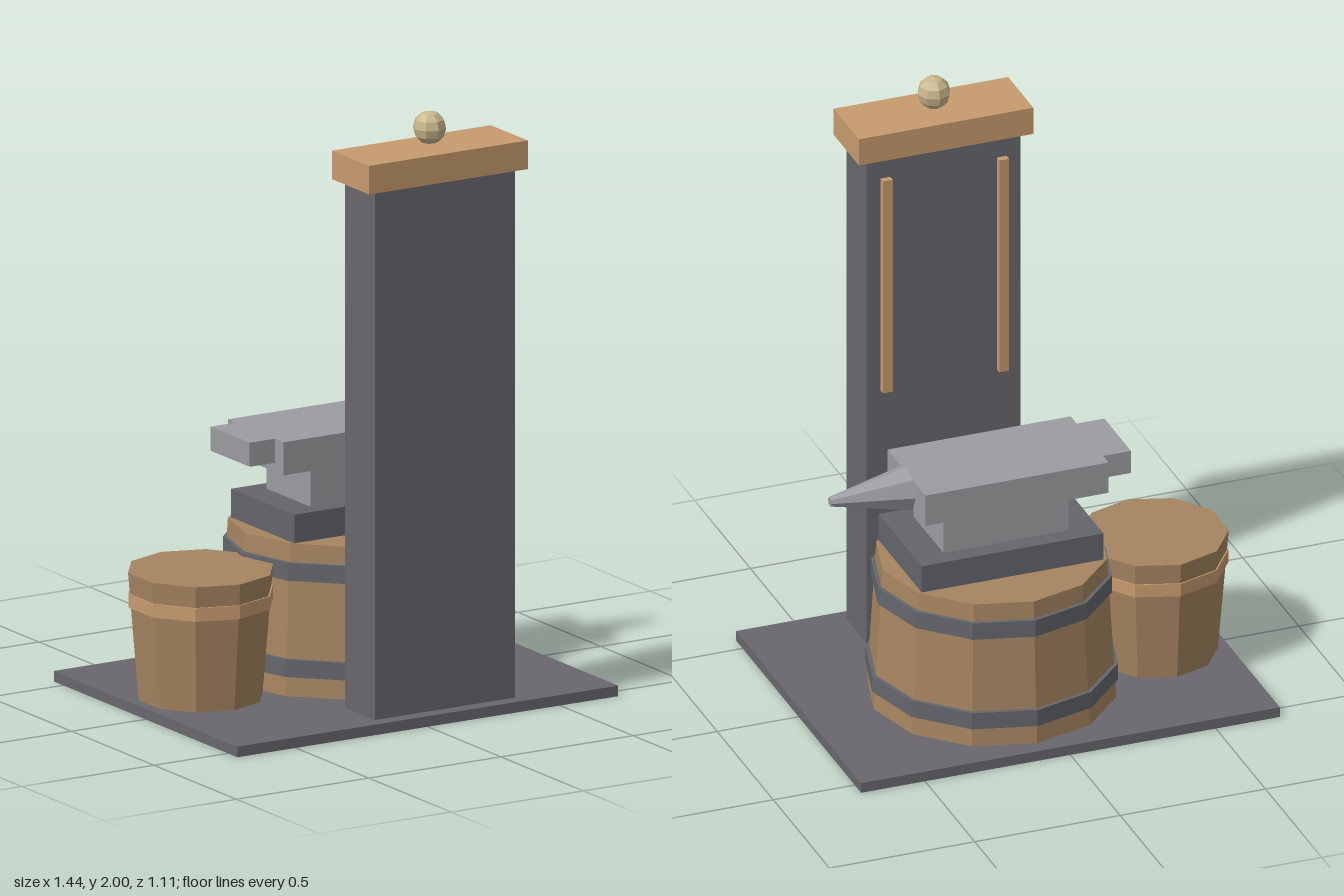
import * as THREE from 'three';

const flat = (name, color) => {
  const m = new THREE.MeshStandardMaterial({ color, flatShading: true });
  m.name = name;
  return m;
};

export function createModel() {
  const stone = flat('dark stone', 0x69676d);
  const iron = flat('dark iron', 0x64666c);
  const steel = flat('light steel', 0x9a9ca0);
  const wood = flat('stave wood', 0xa58460);
  const tan = flat('light wood', 0xc79b6e);
  const brass = flat('pale brass', 0xc8b68c);

  const model = new THREE.Group();
  model.name = 'anvilStation';

  const group = (name) => {
    const g = new THREE.Group();
    g.name = name;
    model.add(g);
    return g;
  };
  const add = (parent, name, geometry, material) => {
    const mesh = new THREE.Mesh(geometry, material);
    mesh.name = name;
    parent.add(mesh);
    return mesh;
  };
  // Box given by its lower and upper limits on each axis
  const box = (parent, name, material, [x0, x1], [y0, y1], [z0, z1]) =>
    add(parent, name, new THREE.BoxGeometry(x1 - x0, y1 - y0, z1 - z0), material)
      .position.set((x0 + x1) / 2, (y0 + y1) / 2, (z0 + z1) / 2);
  // Upright tapered drum between two heights
  const drum = (parent, name, material, x, z, y0, y1, rBottom, rTop, sides) =>
    add(parent, name, new THREE.CylinderGeometry(rTop, rBottom, y1 - y0, sides), material)
      .position.set(x, (y0 + y1) / 2, z);

  // Floor slab
  box(model, 'floorSlab', stone, [-0.72, 0.72], [0, 0.035], [-0.557, 0.557]);

  // Tall pillar with cap, knob and two strips on its rear face
  const pillar = group('pillar');
  box(pillar, 'pillarShaft', stone, [-0.17, 0.36], [0.035, 1.79], [0.328, 0.508]);
  box(pillar, 'pillarCap', tan, [-0.205, 0.395], [1.79, 1.885], [0.305, 0.53]);
  add(pillar, 'capKnob', new THREE.SphereGeometry(0.055, 8, 6), brass)
    .position.set(0.095, 1.945, 0.415);
  for (const side of [-1, 1]) {
    const x = 0.095 + side * 0.2;
    box(pillar, 'pillarStrip', tan, [x - 0.017, x + 0.017], [0.945, 1.715], [0.306, 0.328]);
  }

  // Hooped block under the anvil
  const block = group('anvilBlock');
  drum(block, 'blockStaves', wood, 0.095, -0.1, 0.035, 0.535, 0.405, 0.375, 12);
  drum(block, 'lowerHoop', iron, 0.095, -0.1, 0.1, 0.158, 0.411, 0.411, 12);
  drum(block, 'upperHoop', iron, 0.095, -0.1, 0.415, 0.474, 0.391, 0.391, 12);

  // Anvil
  const anvil = group('anvil');
  box(anvil, 'anvilFoot', iron, [-0.217, 0.408], [0.535, 0.63], [-0.288, 0.095]);
  box(anvil, 'anvilWaist', steel, [-0.12, 0.31], [0.63, 0.76], [-0.228, 0.038]);
  box(anvil, 'anvilBody', steel, [-0.245, 0.385], [0.76, 0.87], [-0.263, 0.075]);
  box(anvil, 'anvilHeel', steel, [-0.34, -0.245], [0.79, 0.87], [-0.215, 0.022]);
  const horn = add(anvil, 'anvilHorn', new THREE.CylinderGeometry(0.016, 0.077, 0.265, 8), steel);
  horn.rotation.z = -Math.PI / 2;
  horn.position.set(0.5175, 0.815, -0.096);

  // Bucket
  const bucket = group('bucket');
  drum(bucket, 'bucketStaves', wood, -0.487, -0.04, 0.035, 0.46, 0.205, 0.24, 10);
  drum(bucket, 'bucketHoop', tan, -0.487, -0.04, 0.345, 0.39, 0.239, 0.239, 10);

  return model;
}
